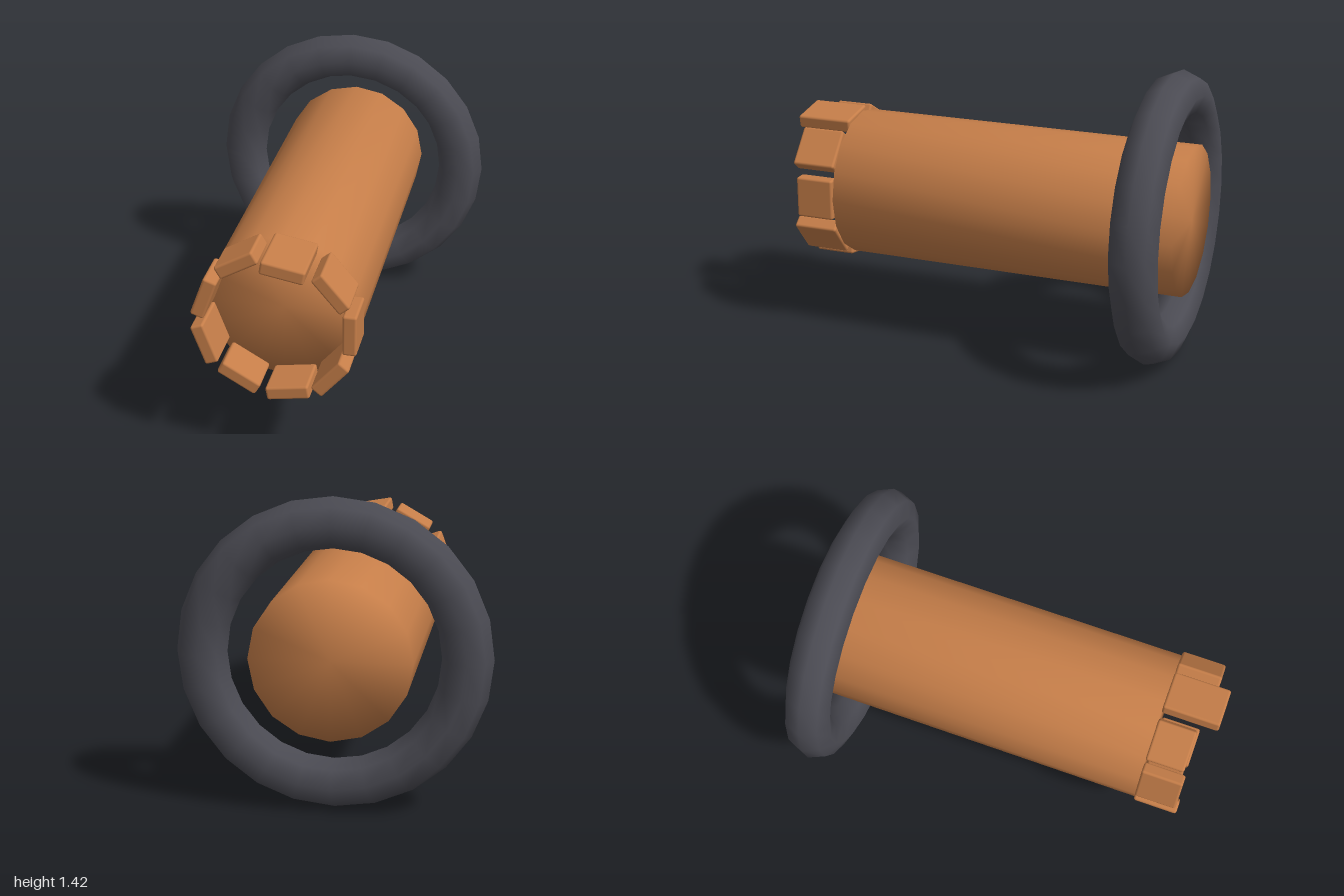
import * as THREE from 'three';
import { mergeVertices } from 'three/addons/utils/BufferGeometryUtils.js';
import { RoundedBoxGeometry } from 'three/addons/geometries/RoundedBoxGeometry.js';

const AXIS_Y = 0.71;      // height of the shared centre axis
const FRONT = 0.72;       // front face of the barrel
const BACK = -1.0;

export function createModel() {
  const copper = new THREE.MeshStandardMaterial({ color: 0xc67e49 });
  copper.name = 'copper';
  const darkGrey = new THREE.MeshStandardMaterial({ color: 0x4b4b53 });
  darkGrey.name = 'darkGrey';

  const model = new THREE.Group();
  const add = (parent, name, geometry, material) => {
    const mesh = new THREE.Mesh(geometry, material);
    mesh.name = name;
    parent.add(mesh);
    return mesh;
  };

  // Barrel: 16-sided, with shared normals running over the rims
  let barrelGeo = new THREE.CylinderGeometry(0.366, 0.366, FRONT - BACK, 16, 1);
  barrelGeo.rotateX(Math.PI / 2);
  barrelGeo.deleteAttribute('uv');
  barrelGeo.deleteAttribute('normal');
  barrelGeo = mergeVertices(barrelGeo);
  barrelGeo.computeVertexNormals();
  add(model, 'barrel', barrelGeo, copper).position.set(0, AXIS_Y, (FRONT + BACK) / 2);

  // Loose ring around the back end
  add(model, 'ring', new THREE.TorusGeometry(0.595, 0.115, 8, 24), darkGrey)
    .position.set(0, AXIS_Y, -0.885);

  // Crown of uneven teeth, counted anticlockwise from the left side
  const crown = new THREE.Group();
  crown.name = 'crown';
  crown.position.y = AXIS_Y + 0.002;
  model.add(crown);
  const tips = [0.912, 0.94, 1.0, 0.91, 0.925, 0.937, 0.91, 0.922, 0.945];
  tips.forEach((tip, i) => {
    const angle = (i / tips.length) * Math.PI * 2;
    const depth = tip - FRONT;
    const tooth = add(crown, 'tooth' + (i + 1),
      new RoundedBoxGeometry(0.066, 0.204, depth, 2, 0.012), copper);
    tooth.position.set(0.343 * Math.cos(angle), 0.343 * Math.sin(angle), FRONT + depth / 2);
    tooth.rotation.z = angle;
  });

  return model;
}
